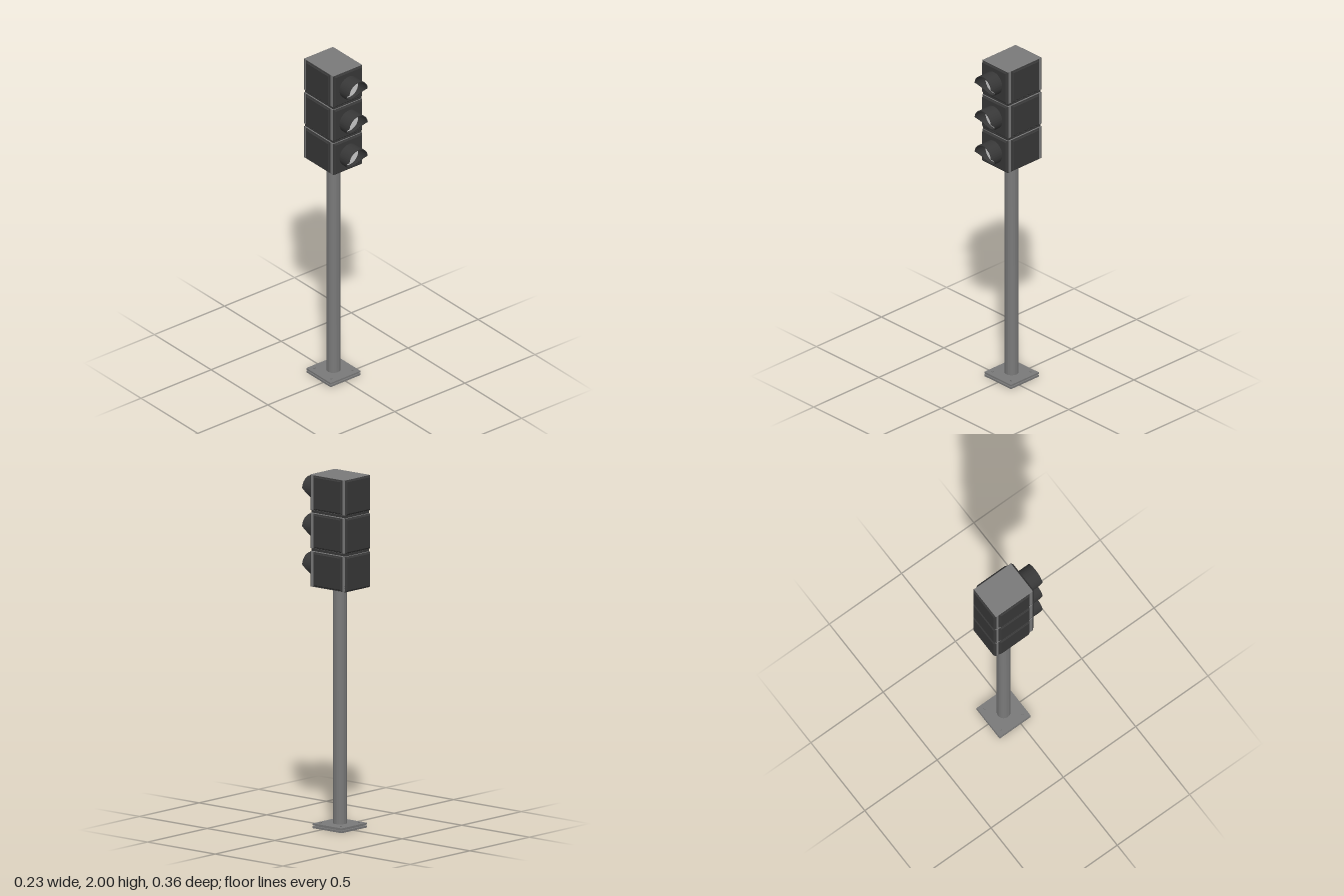
import * as THREE from 'three';
import { toCreasedNormals } from 'three/addons/utils/BufferGeometryUtils.js';
import { RoundedBoxGeometry } from 'three/addons/geometries/RoundedBoxGeometry.js';

const grey = new THREE.MeshStandardMaterial({ color: 0x7a7a7a });
const dark = new THREE.MeshStandardMaterial({ color: 0x383838 });
const glass = new THREE.MeshStandardMaterial({ color: 0xcccccc });

const AXIS_Z = -0.042; // centre line of pole and housing
const PITCH = 0.2165, UNIT_H = 0.203;

function add(parent, name, geometry, material, x = 0, y = 0, z = 0) {
  const mesh = new THREE.Mesh(geometry, material);
  mesh.name = name;
  mesh.position.set(x, y, z);
  parent.add(mesh);
  return mesh;
}

function rectShape(w, h) {
  const s = new THREE.Shape();
  s.moveTo(-w / 2, -h / 2);
  s.lineTo(w / 2, -h / 2);
  s.lineTo(w / 2, h / 2);
  s.lineTo(-w / 2, h / 2);
  s.closePath();
  return s;
}

// Chamfered slab whose outer face lies at z = 0
function panelGeometry(w, h, chamfer, rise) {
  const g = new THREE.ExtrudeGeometry(rectShape(w - 2 * chamfer, h - 2 * chamfer), {
    depth: 0.004, bevelEnabled: true, bevelSegments: 1, bevelSize: chamfer, bevelThickness: rise,
  });
  return g.translate(0, 0, -0.004 - rise);
}

// Hood: a ring wall whose front edge sweeps back towards the bottom
function visorGeometry() {
  const ro = 0.067, ri = 0.063;
  const profile = [[ro, 0], [ro, 1], [ri, 1], [ri, 0]].map(([r, y]) => new THREE.Vector2(r, y));
  const g = new THREE.LatheGeometry(profile, 72).rotateX(Math.PI / 2);
  const p = g.attributes.position;
  for (let i = 0; i < p.count; i++) {
    const t = THREE.MathUtils.clamp((p.getY(i) + 0.065) / 0.07, 0, 1);
    p.setZ(i, p.getZ(i) > 0.5 ? 0.122 + 0.058 * Math.pow(t, 1.5) : 0.085);
  }
  return toCreasedNormals(g, 0.6);
}

// Square plate with a central hole for the pole
function plateGeometry(size, thickness) {
  const s = rectShape(size, size);
  const hole = new THREE.Path();
  hole.absarc(0, 0, 0.036, 0, Math.PI * 2, true);
  s.holes.push(hole);
  return new THREE.ExtrudeGeometry(s, { depth: thickness, bevelEnabled: false, curveSegments: 24 })
    .rotateX(-Math.PI / 2);
}

function lampUnit(index) {
  const unit = new THREE.Group();
  unit.name = 'lampUnit' + (index + 1);
  add(unit, 'core', new RoundedBoxGeometry(0.206, UNIT_H, 0.258, 2, 0.004), grey, 0, 0, AXIS_Z);

  // Front and back covers
  add(unit, 'frontCover', panelGeometry(0.206, 0.2, 0.01, 0.01), dark, 0, 0, 0.096);
  add(unit, 'backCover', panelGeometry(0.206, 0.2, 0.01, 0.01), dark, 0, 0, -0.18)
    .rotation.y = Math.PI;

  // Stepped side covers
  for (const side of [-1, 1]) {
    const cover = new THREE.Group();
    cover.name = side > 0 ? 'leftCover' : 'rightCover';
    add(cover, 'coverRim', panelGeometry(0.214, 0.196, 0.003, 0.003), dark, 0, 0, 0.107);
    add(cover, 'coverFace', panelGeometry(0.202, 0.188, 0.006, 0.007), dark, 0, 0, 0.113);
    cover.rotation.y = side * Math.PI / 2;
    cover.position.z = AXIS_Z - 0.002;
    unit.add(cover);
  }

  // Lens and hood
  add(unit, 'lens', new THREE.CircleGeometry(0.064, 48), glass, 0, 0, 0.1);
  add(unit, 'visor', visorGeometry(), dark);
  return unit;
}

export function createModel() {
  const model = new THREE.Group();
  model.name = 'trafficLight';

  // Base: two plates with a thin spacer and four bolts
  const base = new THREE.Group();
  base.name = 'base';
  base.position.z = AXIS_Z + 0.002;
  add(base, 'lowerPlate', plateGeometry(0.214, 0.011), grey);
  add(base, 'spacer', plateGeometry(0.19, 0.006), grey, 0, 0.011, 0);
  add(base, 'upperPlate', plateGeometry(0.214, 0.01), grey, 0, 0.017, 0);
  for (const x of [-0.075, 0.075]) {
    for (const z of [-0.075, 0.075]) {
      add(base, 'bolt', new THREE.CylinderGeometry(0.006, 0.006, 0.006, 6), grey, x, 0.03, z);
    }
  }
  model.add(base);

  // Hollow pole
  const tube = [[0.039, 0.02], [0.039, 1.37], [0.034, 1.37], [0.034, 0.002], [0.036, 0.002]]
    .map(([r, y]) => new THREE.Vector2(r, y));
  add(model, 'pole', toCreasedNormals(new THREE.LatheGeometry(tube, 40), 0.6), grey, 0, 0, AXIS_Z + 0.002);

  // Three stacked lamp units joined by a narrower spine
  const head = new THREE.Group();
  head.name = 'signalHead';
  for (let i = 0; i < 3; i++) {
    const unit = lampUnit(i);
    unit.position.y = 2 - UNIT_H / 2 - i * PITCH;
    head.add(unit);
  }
  add(head, 'spine', new THREE.BoxGeometry(0.198, 0.6, 0.25), dark, 0, 1.682, AXIS_Z);
  model.add(head);

  return model;
}
